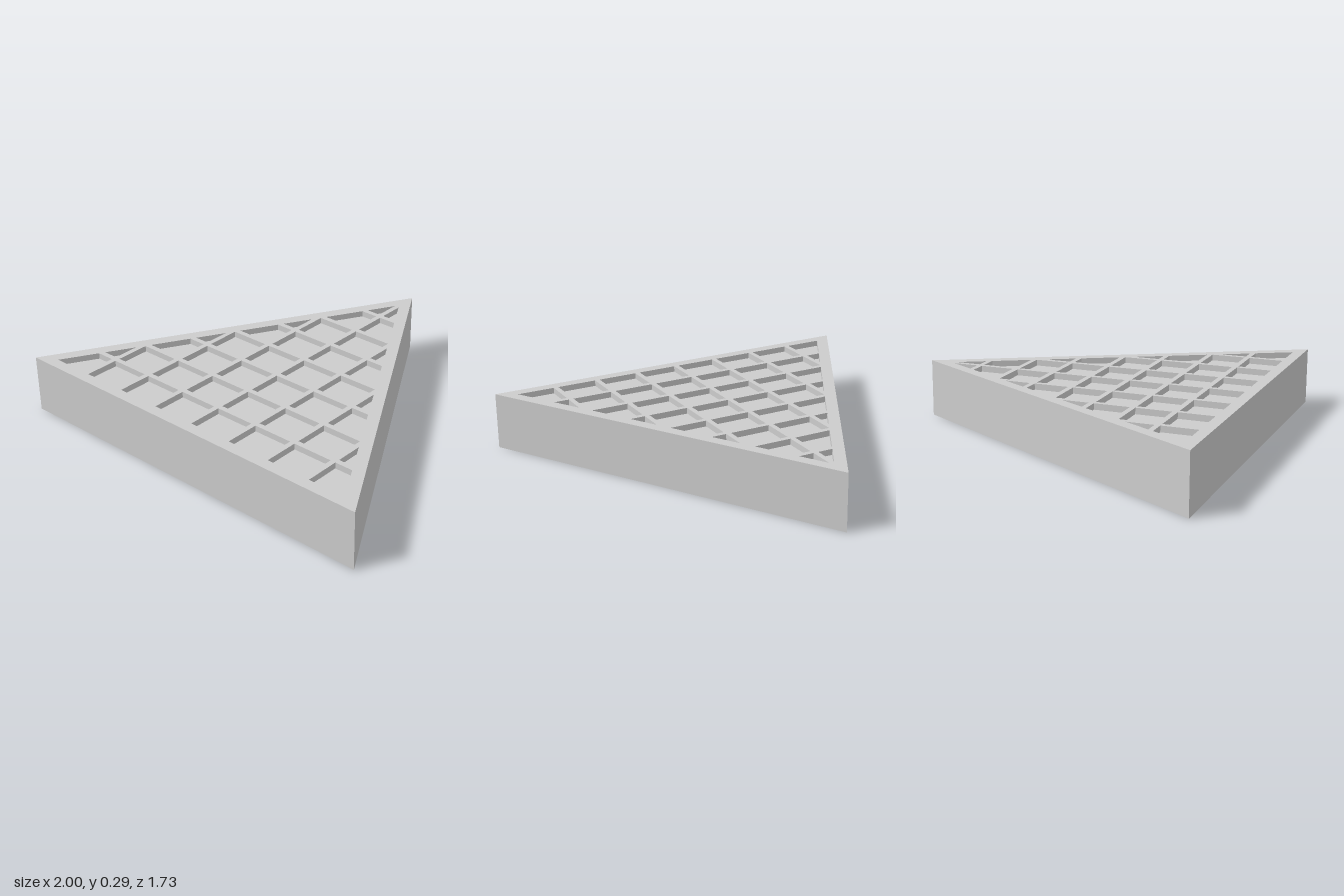
import * as THREE from 'three';
import { mergeGeometries } from 'three/addons/utils/BufferGeometryUtils.js';

const HEIGHT = 0.29, FLOOR = 0.26, HALF_DEPTH = 0.864;
const SLOPE = Math.sqrt(3);

// Points are [x, z], counter-clockwise seen from above.
const toShape = (pts) => new THREE.Shape(pts.map(([x, z]) => new THREE.Vector2(x, -z)));

// Horizontal upward face at height y, with optional holes
function cap(pts, y, holes = []) {
  const shape = toShape(pts);
  shape.holes = holes.map(toShape);
  return new THREE.ShapeGeometry(shape).rotateX(-Math.PI / 2).translate(0, y, 0).deleteAttribute('uv').toNonIndexed();
}

// Vertical band along a closed outline; reversed outlines face inwards
function walls(pts, y0, y1) {
  const v = [];
  pts.forEach(([ax, az], i) => {
    const [bx, bz] = pts[(i + 1) % pts.length];
    v.push(ax, y0, az, bx, y0, bz, bx, y1, bz, ax, y0, az, bx, y1, bz, ax, y1, az);
  });
  const g = new THREE.BufferGeometry();
  g.setAttribute('position', new THREE.Float32BufferAttribute(v, 3));
  g.computeVertexNormals();
  return g;
}

// Grid cells trimmed by the sloping rim, mirrored left and right
function pocketOutlines() {
  const pockets = [];
  const base = 0.807, limit = (z) => 0.899 - (base - z) / SLOPE;
  for (let row = 0; row < 8; row++) {
    const z1 = base - 0.2005 * row, z0 = z1 - 0.174;
    for (let col = 0; col < 4; col++) {
      const x0 = 0.013 + 0.231 * col, x1 = x0 + 0.205;
      if (limit(z1) <= x0 + 0.01) break;
      const pts = [[x0, z1], [Math.min(x1, limit(z1)), z1]];
      if (limit(z0) > x0) pts.push([Math.min(x1, limit(z0)), z0], [x0, z0]);
      else pts.push([x0, base - (0.899 - x0) * SLOPE]);
      pockets.push(pts, pts.map(([x, z]) => [-x, z]).reverse());
    }
  }
  return pockets;
}

export function createModel() {
  const group = new THREE.Group();
  group.name = 'triangularWafflePanel';
  const material = new THREE.MeshStandardMaterial({ color: 0xcccccc, flatShading: true });
  const add = (name, geometry) => {
    const mesh = new THREE.Mesh(geometry, material);
    mesh.name = name;
    group.add(mesh);
  };

  const outline = [[-1, HALF_DEPTH], [1, HALF_DEPTH], [0, -HALF_DEPTH]];
  const pockets = pocketOutlines();

  // Triangular block: sides, underside and the ribbed top
  const underside = cap(outline, 0).rotateZ(Math.PI);
  add('block', mergeGeometries([
    walls(outline, 0, HEIGHT), underside, cap(outline, HEIGHT, pockets),
  ]));

  // Recessed pockets: floors and inward-facing walls
  add('pockets', mergeGeometries(pockets.flatMap((p) => [
    cap(p, FLOOR), walls([...p].reverse(), FLOOR, HEIGHT),
  ])));
  return group;
}
